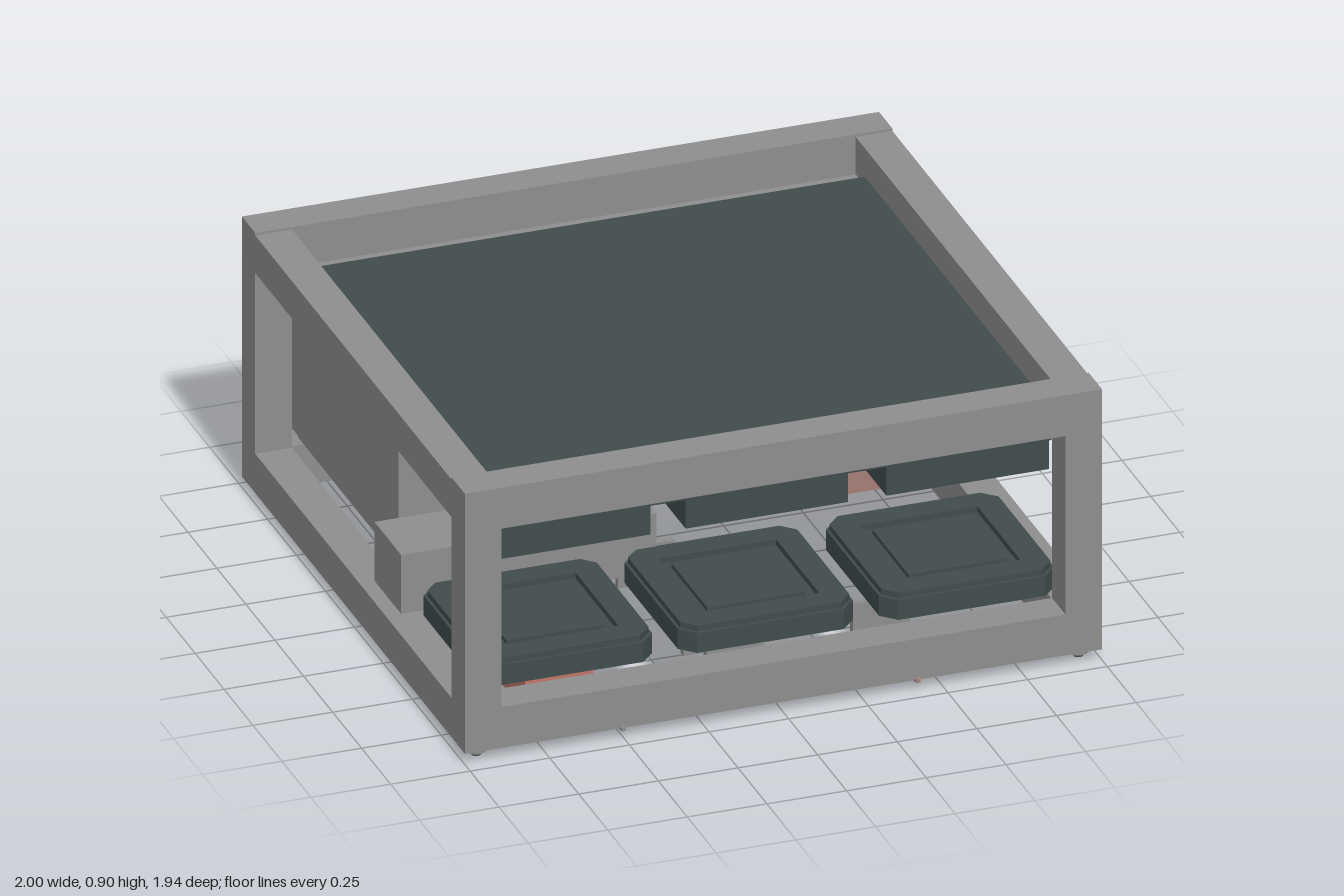
import * as THREE from 'three';

const mat = (name, color) => {
  const m = new THREE.MeshStandardMaterial({ color });
  m.name = name;
  return m;
};

export function createModel() {
  const root = new THREE.Group();
  root.name = 'framedUnit';
  const grey = mat('frame grey', 0x8d8e8d);
  const dark = mat('dark slate', 0x414c4d);
  const pink = mat('dusty pink', 0xa87d77);
  const red = mat('coral', 0xc2746a);
  const black = mat('slot black', 0x222727);

  const add = (name, geo, m, parent = root) => {
    const mesh = new THREE.Mesh(geo, m);
    mesh.name = name;
    parent.add(mesh);
    return mesh;
  };
  // Box given by its limits on each axis
  const box = (name, m, x0, x1, y0, y1, z0, z1, parent = root) => {
    const b = add(name, new THREE.BoxGeometry(x1 - x0, y1 - y0, z1 - z0), m, parent);
    b.position.set((x0 + x1) / 2, (y0 + y1) / 2, (z0 + z1) / 2);
    return b;
  };
  const cyl = (name, m, r, h, x, y, z, sides = 24) => {
    const c = add(name, new THREE.CylinderGeometry(r, r, h, sides), m);
    c.position.set(x, y, z);
    return c;
  };

  // Outer frame: posts, side rails, front and back rails
  const B = -0.972, F = 0.955, W = 0.115;
  for (const s of [-1, 1]) {
    const x0 = s < 0 ? -1 : 1 - W, x1 = x0 + W;
    box('frontPost', grey, x0, x1, 0.17, 0.77, F - W, F);
    box('backPost', grey, x0, x1, 0.17, 0.77, B, B + W);
    box('topSideRail', grey, x0, x1, 0.768, 0.892, B + W, F - W);
    box('bottomSideRail', grey, x0, x1, 0.04, 0.17, B + W, F - W);
  }
  for (const [z0, z1] of [[F - W, F], [B, B + W]]) {
    box('topCrossRail', grey, -1, 1, 0.765, 0.9, z0, z1);
    box('bottomCrossRail', grey, -1, 1, 0.04, 0.175, z0, z1);
  }

  // Feet
  for (const x of [-0.945, 0.945]) for (const z of [-0.905, 0.9]) {
    cyl('footStem', dark, 0.015, 0.035, x, 0.022, z, 12);
    cyl('footPad', grey, 0.03, 0.015, x, 0.025, z, 16);
  }

  // Top panel, its front step and the back panel
  box('topPanel', dark, -0.885, 0.885, 0.73, 0.798, -0.778, 0.84);
  box('topPanelStep', dark, -0.885, 0.885, 0.695, 0.73, 0.21, 0.835);
  box('backPanel', grey, -0.885, 0.885, 0.235, 0.768, -0.905, -0.802);

  // Upper boxes hanging from the top panel
  for (const x of [-0.625, -0.005, 0.625])
    box('upperBox', dark, x - 0.255, x + 0.255, 0.595, 0.695, 0.315, 0.825);

  // Lower trays: chamfered base, raised rim, inner pad, stepped underside
  const chamfered = (half, c, hole) => {
    const p = [[-half, c - half], [c - half, -half], [half - c, -half], [half, c - half],
      [half, half - c], [half - c, half], [c - half, half], [-half, half - c]];
    const s = new THREE.Shape(p.map(([x, y]) => new THREE.Vector2(x, y)));
    if (hole) s.holes.push(new THREE.Path([[-hole, -hole], [-hole, hole], [hole, hole], [hole, -hole]]
      .map(([x, y]) => new THREE.Vector2(x, y))));
    return s;
  };
  const slab = (name, shape, y, h, parent) => {
    const g = new THREE.ExtrudeGeometry(shape, { depth: h, bevelEnabled: false });
    g.rotateX(-Math.PI / 2);
    add(name, g, dark, parent).position.y = y;
  };
  for (const x of [-0.632, -0.002, 0.63]) {
    const tray = new THREE.Group();
    tray.name = 'lowerTray';
    tray.position.set(x, 0, 0.573);
    slab('trayBase', chamfered(0.275, 0.045), 0.19, 0.066, tray);
    slab('trayRim', chamfered(0.266, 0.042, 0.185), 0.256, 0.019, tray);
    box('trayPad', dark, -0.155, 0.155, 0.255, 0.27, -0.155, 0.155, tray);
    box('trayUnderside', dark, -0.2, 0.2, 0.177, 0.19, -0.2, 0.2, tray);
    root.add(tray);
  }

  // Brackets under the trays
  for (const [x, z] of [[0.4, 0.69], [-0.1, 0.8], [-0.1, 0.6], [-0.13, 0.12]])
    box('bracket', grey, x - 0.09, x + 0.09, 0.06, 0.19, z - 0.012, z + 0.012);

  // Coral box under the right tray
  box('coralBox', red, -0.735, -0.52, 0.03, 0.19, 0.4, 0.745);
  box('coralBoxFoot', grey, -0.72, -0.54, 0.005, 0.03, 0.56, 0.62);
  box('coralBoxTab', grey, -0.57, -0.5, 0.034, 0.04, 0.32, 0.56);

  // Pink unit with stepped flange, round spigot and long bars below
  box('pinkBody', pink, 0.1, 0.885, 0.235, 0.73, -0.275, 0.02);
  box('pinkFlange', pink, 0.075, 0.9, 0.225, 0.73, 0.02, 0.075);
  box('pinkFlangeFace', pink, 0.102, 0.87, 0.225, 0.73, 0.075, 0.09);
  const spigot = cyl('pinkSpigot', pink, 0.1, 0.075, 0.575, 0.375, 0.127, 32);
  spigot.rotation.x = Math.PI / 2;
  box('pinkBar', pink, 0.12, 0.85, 0.19, 0.235, -0.1, -0.02);
  box('darkBar', dark, 0.12, 0.85, 0.197, 0.235, -0.185, -0.155);

  // Drum: a circle with its front, back and top cut flat
  const drumShape = new THREE.Shape();
  for (let i = 0; i < 48; i++) {
    const a = (i / 48) * Math.PI * 2;
    const u = THREE.MathUtils.clamp(0.292 * Math.cos(a), -0.262, 0.262);
    const v = Math.min(0.292 * Math.sin(a), 0.217);
    if (i) drumShape.lineTo(u, v); else drumShape.moveTo(u, v);
  }
  const drumGeo = new THREE.ExtrudeGeometry(drumShape, { depth: 0.685, bevelEnabled: false });
  drumGeo.rotateY(Math.PI / 2);
  add('drum', drumGeo, dark).position.set(0.19, 0.513, -0.538);

  // Slotted plate below the drum
  box('ventPlate', dark, 0.1, 0.8, 0.205, 0.235, -0.71, -0.38);
  for (let i = 0; i < 7; i++)
    box('ventSlot', black, 0.14 + i * 0.09, 0.185 + i * 0.09, 0.198, 0.206, -0.68, -0.41);

  // Grey cabinet with flange, control box and access plate
  box('cabinet', grey, -0.885, -0.18, 0.23, 0.73, -0.802, 0);
  box('cabinetTop', grey, -0.885, -0.18, 0.73, 0.765, -0.802, -0.778);
  box('cabinetFloor', grey, -0.87, -0.18, 0.213, 0.23, -0.77, -0.09);
  box('cabinetFlange', grey, -0.89, -0.165, 0.19, 0.73, 0, 0.08);
  box('controlBox', grey, -0.966, -0.165, 0.19, 0.385, 0.08, 0.31);
  box('controlPlate', dark, -0.92, -0.17, 0.172, 0.19, 0.11, 0.27);
  for (let i = 0; i < 4; i++)
    cyl('knob', red, 0.036, 0.055, -0.3 - i * 0.165, 0.147, 0.18, 20);
  box('accessPlate', grey, -0.76, -0.22, 0.19, 0.213, -0.7, -0.35);
  for (const x of [-0.6, -0.42])
    box('accessSlot', black, x - 0.06, x + 0.06, 0.182, 0.19, -0.6, -0.57);

  // Small fittings on the bottom rails
  for (const x of [0.55, -0.05])
    box('railSlot', black, x - 0.045, x + 0.045, 0.038, 0.041, 0.87, 0.91);
  box('sideRailTab', grey, -0.98, -0.92, 0.032, 0.04, -0.61, -0.49);
  box('frontPin', grey, -0.512, -0.498, 0.034, 0.046, 0.94, 0.965);
  box('frontPin', pink, 0.413, 0.427, 0.034, 0.046, 0.94, 0.965);
  return root;
}
